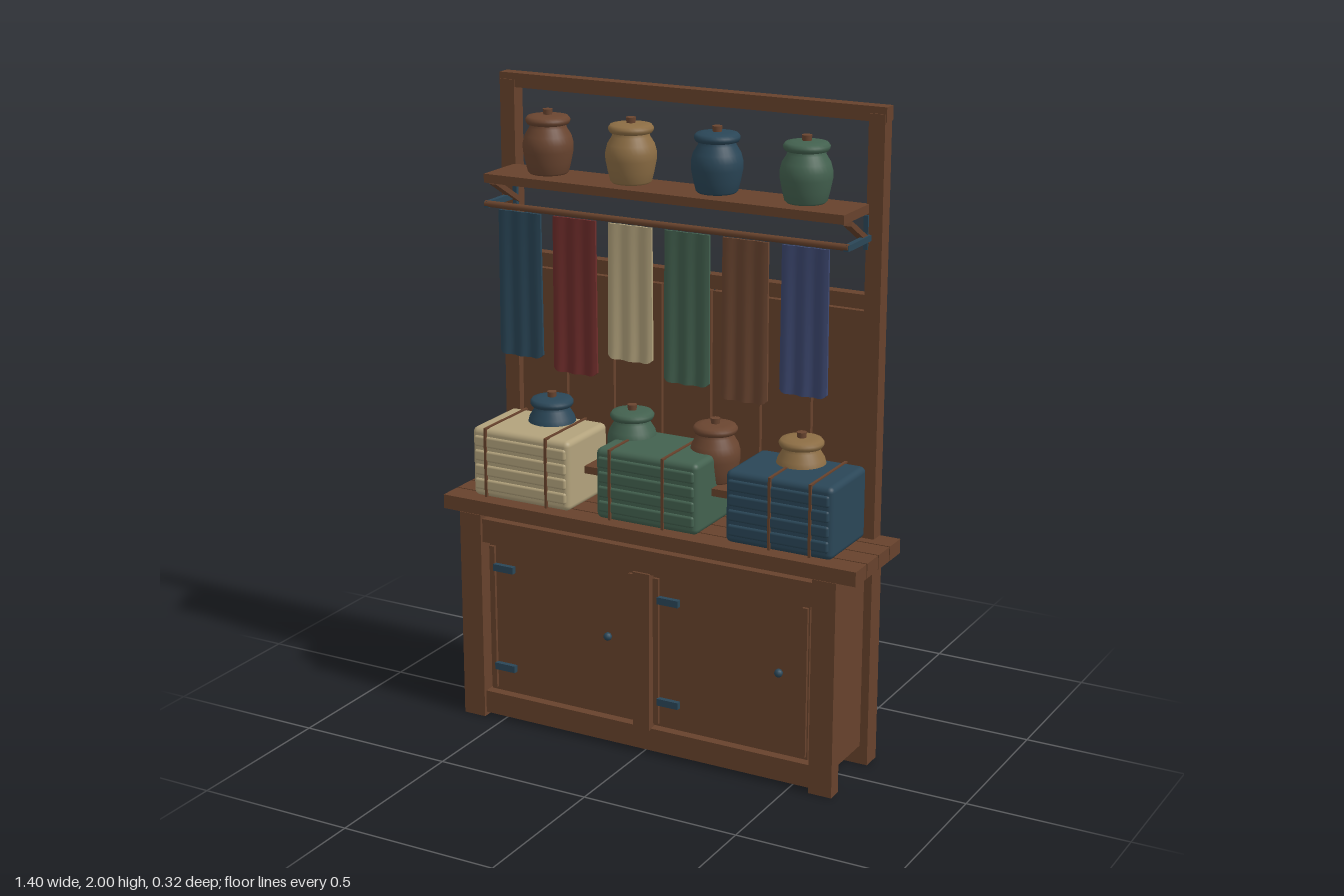
import * as THREE from 'three';
import { RoundedBoxGeometry } from 'three/addons/geometries/RoundedBoxGeometry.js';

const mat = (name, color, extra = {}) =>
  Object.assign(new THREE.MeshStandardMaterial({ color, ...extra }), { name });

export function createModel() {
  const wood = mat('wood', 0x67422c);
  const blue = mat('deep blue', 0x2a4657);
  const green = mat('sage green', 0x43614f);
  const cream = mat('cream linen', 0xb2a27c);
  const tan = mat('tan clay', 0x8c6d44);
  const red = mat('dark red', 0x6f2d2b);
  const indigo = mat('indigo', 0x3d4870);
  const clay = mat('brown clay', 0x6a4530);

  const model = new THREE.Group();
  model.name = 'shopStall';
  const group = (name) => {
    const g = new THREE.Group();
    g.name = name;
    model.add(g);
    return g;
  };
  const add = (parent, name, geometry, material, x = 0, y = 0, z = 0) => {
    const m = new THREE.Mesh(geometry, material);
    m.name = name;
    m.position.set(x, y, z);
    parent.add(m);
    return m;
  };
  // Box given by its limits on each axis
  const box = (parent, name, material, x0, x1, y0, y1, z0, z1) =>
    add(parent, name, new THREE.BoxGeometry(x1 - x0, y1 - y0, z1 - z0), material,
      (x0 + x1) / 2, (y0 + y1) / 2, (z0 + z1) / 2);
  // The same box on both sides of the model
  const pair = (parent, name, material, x0, x1, ...rest) => {
    box(parent, name, material, x0, x1, ...rest);
    box(parent, name, material, -x1, -x0, ...rest);
  };

  // Cabinet carcass
  const cabinet = group('cabinet');
  pair(cabinet, 'frontLeg', wood, 0.565, 0.64, 0, 0.675, 0.113, 0.16);
  pair(cabinet, 'backLeg', wood, 0.565, 0.64, 0, 0.675, -0.16, -0.095);
  pair(cabinet, 'sidePanel', wood, 0.585, 0.615, 0.06, 0.63, -0.1, 0.115);
  box(cabinet, 'backPanel', wood, -0.57, 0.57, 0.05, 0.63, -0.15, -0.125);
  box(cabinet, 'floor', wood, -0.59, 0.59, 0.06, 0.08, -0.13, 0.115);
  box(cabinet, 'topRail', wood, -0.57, 0.57, 0.585, 0.66, 0.115, 0.15);
  box(cabinet, 'bottomRail', wood, -0.57, 0.57, 0.012, 0.085, 0.115, 0.15);
  box(cabinet, 'centreStile', wood, -0.028, 0.028, 0.08, 0.588, 0.115, 0.158);

  // Doors with a slim frame, hinges and a knob
  for (const x of [-0.292, 0.287]) {
    const door = group('door');
    door.position.x = x;
    box(door, 'doorPanel', wood, -0.26, 0.26, 0.09, 0.58, 0.115, 0.13);
    for (const s of [-1, 1]) {
      box(door, 'doorStile', wood, s * 0.247 - 0.009, s * 0.247 + 0.009, 0.1, 0.572, 0.125, 0.14);
    }
    for (const y of [0.505, 0.175]) {
      box(door, 'hinge', blue, -0.24, -0.168, y - 0.011, y + 0.011, 0.125, 0.146);
    }
    add(door, 'knob', new THREE.SphereGeometry(0.013, 12, 8), blue, 0.165, 0.352, 0.138);
  }

  // Counter of four planks
  const counter = group('counter');
  for (let i = 0; i < 4; i++) {
    const z = -0.12 + i * 0.08;
    box(counter, 'counterPlank', wood, -0.7, 0.7, 0.675, 0.72, z - 0.0375, z + 0.0375);
  }

  // Upper frame and back boards
  const rack = group('rack');
  pair(rack, 'post', wood, 0.585, 0.635, 0.72, 1.98, -0.16, -0.112);
  box(rack, 'crossbar', wood, -0.638, 0.638, 1.957, 2, -0.16, -0.116);
  box(rack, 'boardTopRail', wood, -0.588, 0.588, 1.412, 1.455, -0.155, -0.118);
  box(rack, 'boardBottomRail', wood, -0.588, 0.588, 0.765, 0.825, -0.145, -0.112);
  const pitch = 1.17 / 7;
  for (let i = 0; i < 7; i++) {
    const x = (i - 3) * pitch;
    box(rack, 'backBoard', wood, x - pitch / 2 + 0.004, x + pitch / 2 - 0.004,
      0.755, 1.403, -0.15, -0.13);
  }

  // Shelves, braces and hanging rod
  const shelves = group('shelves');
  box(shelves, 'topShelf', wood, -0.592, 0.592, 1.695, 1.722, -0.118, 0.055);
  box(shelves, 'lowerShelf', wood, -0.585, 0.585, 0.822, 0.845, -0.118, 0.03);
  for (const s of [-1, 1]) {
    const brace = add(shelves, 'shelfBrace', new THREE.BoxGeometry(0.024, 0.016, 0.15), wood,
      s * 0.585, 1.652, -0.052);
    brace.rotation.x = -0.53;
    box(shelves, 'rodArm', blue, s * 0.594 - 0.008, s * 0.594 + 0.008, 1.616, 1.634, -0.118, 0.042);
    box(shelves, 'armPlate', blue, s * 0.586 - 0.007, s * 0.586 + 0.007, 1.59, 1.69, -0.118, -0.106);
  }
  add(shelves, 'hangingRod', new THREE.CylinderGeometry(0.01, 0.01, 1.2, 12), wood, 0, 1.627, 0.035)
    .rotation.z = Math.PI / 2;

  // Hanging cloths with soft vertical folds and a drooping hem
  const cloths = group('cloths');
  const clothGeometry = (height) => {
    const g = new THREE.BoxGeometry(0.15, height, 0.008, 18, 12, 1);
    const p = g.attributes.position;
    for (let i = 0; i < p.count; i++) {
      const x = p.getX(i) / 0.075;
      const down = 0.5 - p.getY(i) / height;
      p.setZ(i, p.getZ(i) + 0.005 * Math.cos(x * 8) * (0.3 + 0.7 * down));
      p.setY(i, p.getY(i) + 0.012 * x ** 8 * down ** 6);
      p.setX(i, p.getX(i) * (0.97 + 0.03 * down));
    }
    g.computeVertexNormals();
    return g;
  };
  [[blue, 1.17], [red, 1.14], [cream, 1.205], [green, 1.16], [clay, 1.135], [indigo, 1.18]]
    .forEach(([material, bottom], i) => {
      const top = 1.617;
      add(cloths, 'hangingCloth', clothGeometry(top - bottom), material,
        -0.4725 + i * 0.189, (top + bottom) / 2, 0.046);
    });

  // Lidded jars
  const jarProfile = [[0, 0], [0.056, 0], [0.062, 0.006], [0.069, 0.035], [0.076, 0.07],
    [0.076, 0.092], [0.07, 0.115], [0.056, 0.138], [0.054, 0.148]];
  const lidProfile = [[0.05, 0.146], [0.062, 0.149], [0.067, 0.157], [0.067, 0.164],
    [0.061, 0.172], [0.04, 0.176], [0, 0.177]];
  const lathe = (points) =>
    new THREE.LatheGeometry(points.map(([r, y]) => new THREE.Vector2(r, y)), 32);
  const bodyGeometry = lathe(jarProfile);
  const lidGeometry = lathe(lidProfile);
  const knobGeometry = new THREE.CylinderGeometry(0.015, 0.013, 0.02, 16);
  const jars = group('jars');
  const jarRow = (y, colours) => colours.forEach((material, i) => {
    const jar = new THREE.Group();
    jar.name = 'jar';
    jar.position.set(-0.43 + i * 0.2845, y, -0.052);
    jars.add(jar);
    add(jar, 'jarBody', bodyGeometry, material);
    add(jar, 'jarLid', lidGeometry, material);
    add(jar, 'jarKnob', knobGeometry, clay, 0, 0.183, 0);
  });
  jarRow(1.722, [clay, tan, blue, green]);
  jarRow(0.845, [blue, green, clay, tan]);

  // Folded cloth bundles tied with straps
  const bundle = (x, material, straps) => {
    const b = group('clothBundle');
    b.position.x = x;
    add(b, 'bundleBody', new RoundedBoxGeometry(0.345, 0.222, 0.238, 3, 0.018), material,
      0, 0.834, 0.005);
    for (let i = 0; i < 4; i++) {
      add(b, 'foldedEdge', new RoundedBoxGeometry(0.325, 0.036, 0.02, 2, 0.008), material,
        0, 0.765 + i * 0.046, 0.12);
    }
    for (const sx of straps) {
      box(b, 'strapFront', wood, sx - 0.004, sx + 0.004, 0.727, 0.948, 0.126, 0.133);
      box(b, 'strapTop', wood, sx - 0.004, sx + 0.004, 0.943, 0.949, -0.112, 0.133);
    }
  };
  bundle(-0.44, cream, [-0.12, 0.095]);
  bundle(-0.002, green, [-0.12, 0.06]);
  bundle(0.435, blue, [-0.025, 0.105]);

  return model;
}
